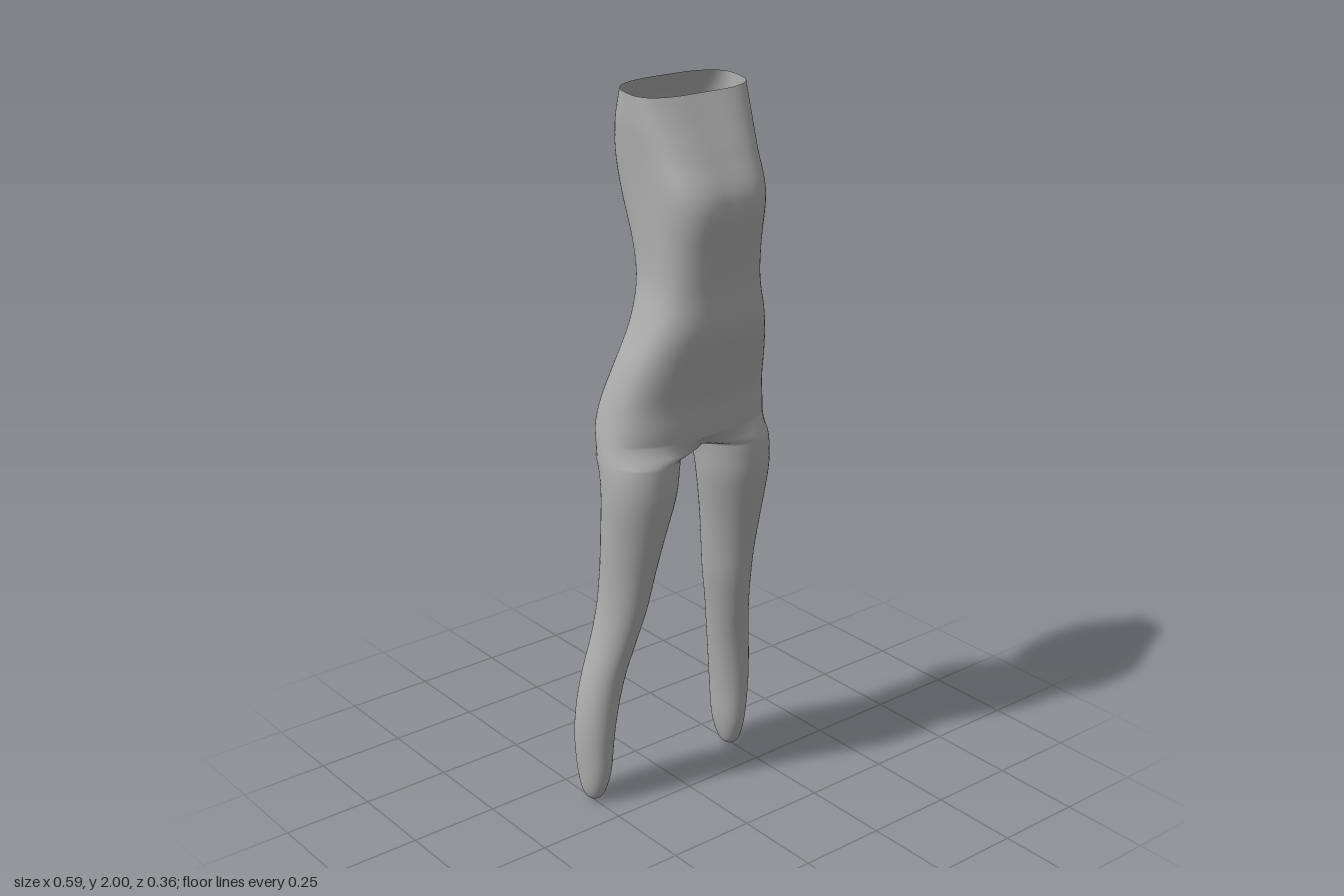
import * as THREE from 'three';
import { mergeVertices } from 'three/addons/utils/BufferGeometryUtils.js';

const OUTER = 36; // segments round the outside of one half
const INNER = 12; // segments along the inner thigh
const RING = OUTER + INNER;

// Torso sections: y, half width, front z, back z, squareness, back hollow, front drop
const TORSO = [
  [2.0, 0.178, 0.055, -0.1, 2.9, 0, 0.02],
  [1.92, 0.176, 0.095, -0.138, 2.9, 0, 0.012],
  [1.83, 0.168, 0.138, -0.16, 2.9, 0, 0],
  [1.73, 0.161, 0.182, -0.15, 2.9, 0, 0],
  [1.6, 0.156, 0.166, -0.102, 2.8, 0.003, 0],
  [1.5, 0.161, 0.156, -0.083, 2.7, 0.004, 0],
  [1.4, 0.185, 0.154, -0.09, 2.6, 0.004, 0],
  [1.3, 0.214, 0.13, -0.12, 2.5, 0.006, 0],
  [1.2, 0.235, 0.102, -0.156, 2.5, 0.012, 0],
  [1.13, 0.246, 0.096, -0.173, 2.5, 0.022, 0],
  [1.09, 0.252, 0.092, -0.167, 2.4, 0.035, 0],
];

// Leg sections: y, outer x, inner x, front z, back z
const CROTCH = [1.06, 0.256, -0.04, 0.091, -0.154];
const LEG = [
  [1.04, 0.258, 0.042, 0.09, -0.142],
  [1.0, 0.26, 0.05, 0.09, -0.121],
  [0.93, 0.259, 0.06, 0.085, -0.112],
  [0.8, 0.25, 0.088, 0.058, -0.122],
  [0.7, 0.244, 0.106, 0.036, -0.131],
  [0.6, 0.245, 0.122, 0.016, -0.14],
  [0.5, 0.256, 0.144, -0.008, -0.151],
  [0.4, 0.275, 0.163, -0.032, -0.165],
  [0.3, 0.289, 0.179, -0.046, -0.176],
  [0.2, 0.293, 0.191, -0.055, -0.181],
  [0.1, 0.286, 0.199, -0.064, -0.176],
  [0.04, 0.278, 0.212, -0.08, -0.16],
  [0.012, 0.266, 0.226, -0.096, -0.143],
  [0, 0.2465, 0.2455, -0.1195, -0.1205],
];

// Catmull-Rom blend of a section table into denser sections
function refine(rows, steps) {
  const at = (i) => rows[Math.min(Math.max(i, 0), rows.length - 1)];
  const out = [];
  for (let i = 0; i < rows.length - 1; i++) {
    for (let s = 0; s < steps; s++) {
      const t = s / steps;
      out.push(rows[i].map((b, c) => {
        const a = at(i - 1)[c], d = at(i + 1)[c], e = at(i + 2)[c];
        return b + 0.5 * t * (d - a + t * (2 * a - 5 * b + 4 * d - e + t * (3 * (b - d) + e - a)));
      }));
    }
  }
  out.push(rows[rows.length - 1]);
  return out;
}

// Half torso section, from the front middle round the side to the back middle
function torsoRing([y, w, front, back, n, hollow, drop]) {
  const ring = [];
  for (let i = 0; i <= OUTER; i++) {
    const a = Math.PI * (0.5 - i / OUTER);
    const s = Math.sin(a);
    const x = i % OUTER === 0 ? 0 : w * Math.pow(Math.cos(a), 2 / n);
    const k = Math.sign(s) * Math.pow(Math.abs(s), 2 / n);
    let z = (front + back) / 2 + (k * (front - back)) / 2;
    const middle = Math.exp(-((x / 0.06) ** 2));
    z += s < 0 ? hollow * middle : -0.004 * middle;
    ring.push([x, y - (drop * (k + 1)) / 2, z]);
  }
  return ring;
}

// Closed leg section; the inner points of the first one meet the mirror plane
function legRing([y, outer, inner, front, back], onMiddle = false) {
  const ring = [];
  for (let i = 0; i < RING; i++) {
    const a = i <= OUTER
      ? Math.PI * (0.75 - (1.5 * i) / OUTER)
      : Math.PI * (-0.75 - (0.5 * (i - OUTER)) / INNER);
    const x = (outer + inner) / 2 + (Math.cos(a) * (outer - inner)) / 2;
    const z = (front + back) / 2 + (Math.sin(a) * (front - back)) / 2;
    ring.push([onMiddle && (i === 0 || i >= OUTER) ? 0 : Math.max(x, 0), y, z]);
  }
  return ring;
}

function bodyGeometry() {
  const torso = refine(TORSO, 4).map(torsoRing);
  const legs = [legRing(CROTCH, true), ...refine(LEG, 4).map((row) => legRing(row))];
  const positions = [];

  // One triangle on the left side and its mirror on the right
  const face = (a, b, c) => {
    positions.push(...a, ...b, ...c);
    for (const [x, y, z] of [a, c, b]) positions.push(-x, y, z);
  };
  const join = (upper, lower, count) => {
    for (let i = 0; i < count; i++) {
      const j = (i + 1) % lower.length;
      face(upper[i], lower[i], upper[j]);
      face(upper[j], lower[i], lower[j]);
    }
  };

  for (let r = 0; r < torso.length - 1; r++) join(torso[r], torso[r + 1], OUTER);
  join(torso[torso.length - 1], legs[0], OUTER);
  for (let r = 0; r < legs.length - 1; r++) join(legs[r], legs[r + 1], RING);

  // Toe caps
  const tip = legs[legs.length - 1];
  for (let i = 1; i < RING - 1; i++) face(tip[0], tip[i + 1], tip[i]);

  const geometry = new THREE.BufferGeometry();
  geometry.setAttribute('position', new THREE.Float32BufferAttribute(positions, 3));
  const welded = mergeVertices(geometry, 1e-5);
  welded.computeVertexNormals();
  return welded;
}

export function createModel() {
  const grey = new THREE.MeshStandardMaterial({ color: 0xb0b0b0, side: THREE.DoubleSide });
  grey.name = 'plain grey';

  // Open-topped torso and legs in one smooth skin
  const body = new THREE.Mesh(bodyGeometry(), grey);
  body.name = 'torsoAndLegs';

  const model = new THREE.Group();
  model.name = 'lowerBody';
  model.add(body);
  return model;
}
